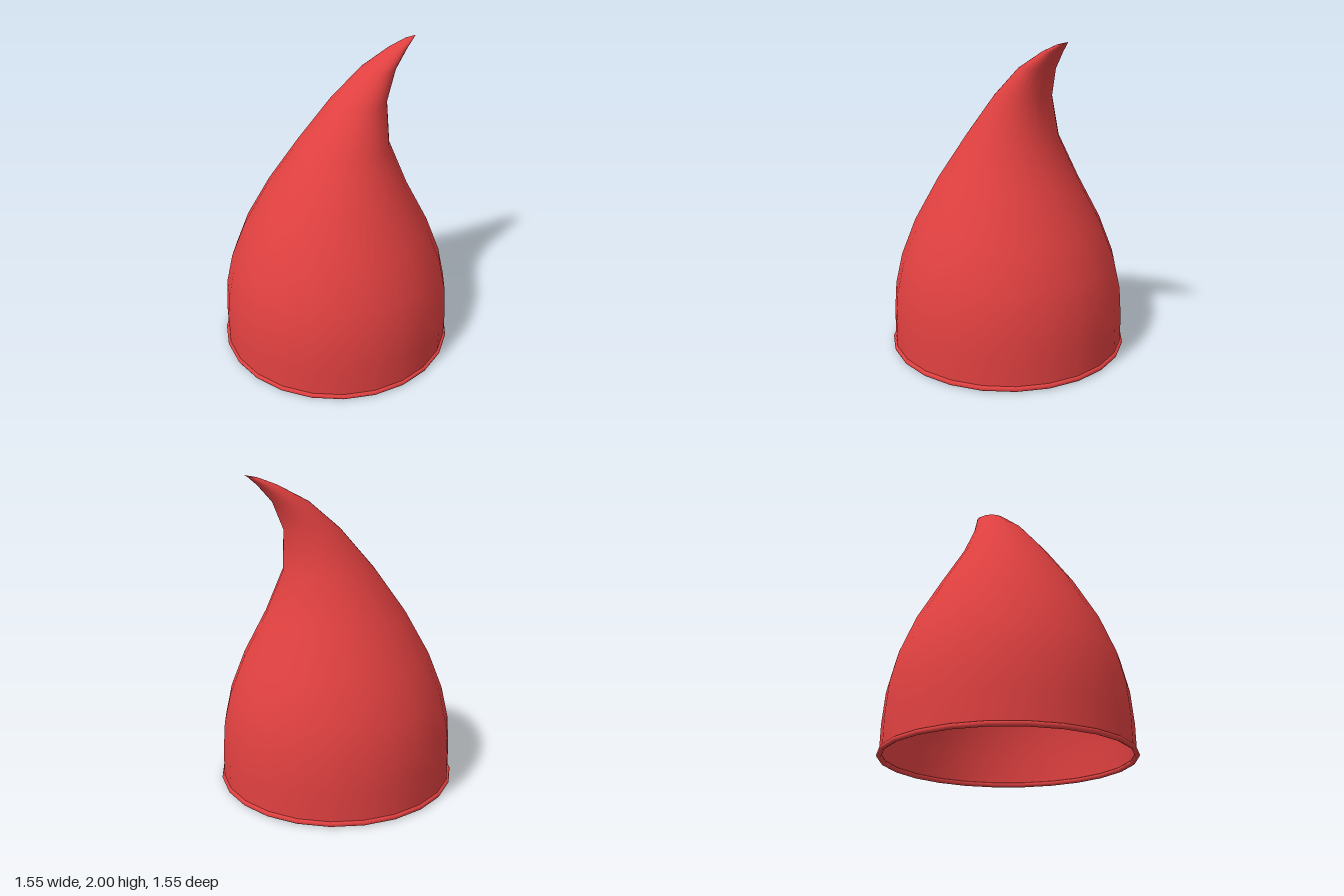
import * as THREE from 'three';
import { mergeVertices } from 'three/addons/utils/BufferGeometryUtils.js';

const SIDES = 24;

// Rings of the cone: [height, radius, sideways lean of the ring centre]
const RINGS = [
  [0.015, 0.76, 0], [0.2, 0.76, 0], [0.4, 0.745, 0], [0.6, 0.7, 0],
  [0.84, 0.605, 0], [1.12, 0.452, 0.006], [1.4, 0.293, 0.052],
  [1.66, 0.178, 0.167], [1.835, 0.112, 0.31], [1.94, 0.06, 0.46],
  [1.985, 0.027, 0.548], [2, 0, 0.6],
];

// Lathed cone whose rings slide towards +x to form the curled tip
function bentCone() {
  const profile = RINGS.map(([y, r]) => new THREE.Vector2(r, y));
  const lathe = new THREE.LatheGeometry(profile, SIDES);
  const pos = lathe.attributes.position;
  for (let i = 0; i < pos.count; i++) {
    pos.setX(i, pos.getX(i) + RINGS[i % RINGS.length][2]);
  }
  // Weld the seam so the shading runs smoothly all round
  lathe.deleteAttribute('uv');
  lathe.deleteAttribute('normal');
  const geometry = mergeVertices(lathe, 1e-4);
  geometry.computeVertexNormals();
  return geometry;
}

export function createModel() {
  const group = new THREE.Group();
  group.name = 'pointedHat';
  const red = new THREE.MeshStandardMaterial({ color: 0xe04040, side: THREE.DoubleSide });

  // Hollow body, open at the bottom
  const body = new THREE.Mesh(bentCone(), red);
  body.name = 'hatBody';

  // Thin rolled rim around the opening
  const rimGeometry = new THREE.TorusGeometry(0.76, 0.016, 8, SIDES);
  rimGeometry.rotateX(Math.PI / 2);
  const rim = new THREE.Mesh(rimGeometry, red);
  rim.name = 'rim';
  rim.position.y = 0.016;

  group.add(body, rim);
  return group;
}
